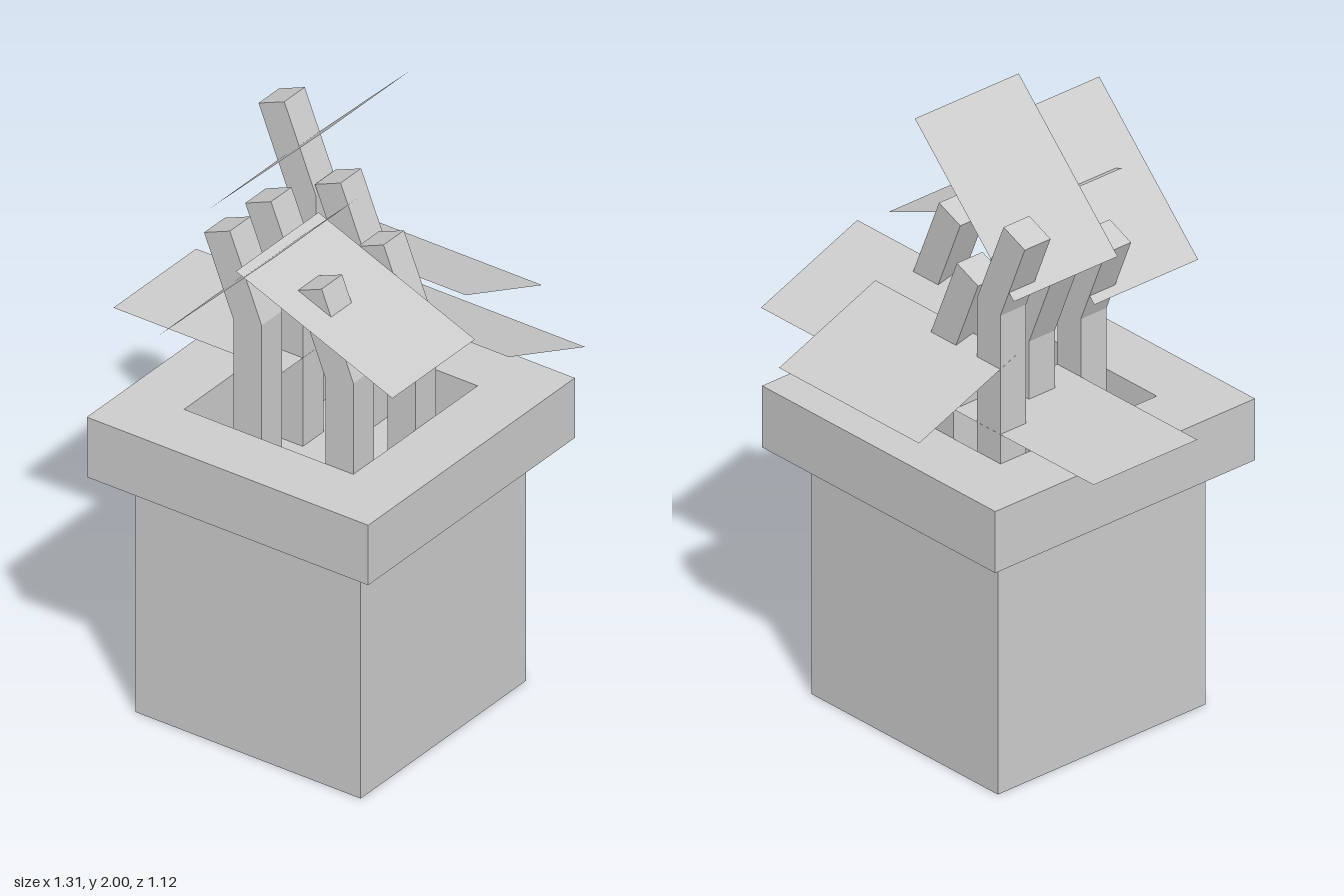
import * as THREE from 'three';

export function createModel() {
  const group = new THREE.Group();
  const clay = new THREE.MeshStandardMaterial({ color: 0xcccccc, flatShading: true, side: THREE.DoubleSide });

  const add = (name, geometry, x = 0, y = 0, z = 0) => {
    const mesh = new THREE.Mesh(geometry, clay);
    mesh.name = name;
    mesh.position.set(x, y, z);
    group.add(mesh);
    return mesh;
  };

  const square = (Type, half) => new Type([[-1, -1], [1, -1], [1, 1], [-1, 1]]
    .map(([x, y]) => new THREE.Vector2(x * half, y * half)));

  // Pot: square body with a wider hollow rim
  const potX = 0.05, potZ = 0.056, rimBase = 0.81;
  add('potBody', new THREE.BoxGeometry(0.806, rimBase, 0.806), potX, rimBase / 2, potZ);
  const rimShape = square(THREE.Shape, 0.504);
  rimShape.holes.push(square(THREE.Path, 0.303));
  const rim = new THREE.ExtrudeGeometry(rimShape, { depth: 0.203, bevelEnabled: false });
  rim.rotateX(-Math.PI / 2);
  add('potRim', rim, potX, rimBase, potZ);

  // Stems: square posts whose tops lean to the model's right
  const addStem = (x, z, bend) => {
    const shape = new THREE.Shape([
      [-0.05, rimBase], [0.05, rimBase], [0.05, bend + 0.01],
      [-0.064, bend + 0.288], [-0.156, bend + 0.25], [-0.05, bend - 0.01],
    ].map(([px, py]) => new THREE.Vector2(px, py)));
    add('stem', new THREE.ExtrudeGeometry(shape, { depth: 0.1, bevelEnabled: false }), x, 0, z - 0.05);
  };
  [
    [-0.202, -0.197, 1.512],
    [0, -0.197, 1.31],
    [-0.101, 0.005, 1.31],
    [0.302, 0.005, 1.31],
    [-0.101, 0.206, 1.31],
    [0.302, 0.307, 1.31],
  ].forEach((s) => addStem(...s));

  // Leaves: thin sheets tilted about z (rise along x) or about x (rise along z)
  const addLeaf = (x, y, z, length, width, tiltX, tiltZ) => {
    const geometry = new THREE.PlaneGeometry(length, width);
    geometry.rotateX(-Math.PI / 2);
    add('leaf', geometry, x, y, z).rotation.set(tiltX, 0, tiltZ);
  };
  const deg = Math.PI / 180;
  const L = 0.605, W = 0.403;
  addLeaf(0.005, 1.585, 0.358, L, W, 0, 45 * deg);
  addLeaf(-0.096, 1.786, -0.045, L, W, 0, 45 * deg);
  addLeaf(0.285, 1.51, 0.256, L, W, 0, -22 * deg);
  addLeaf(-0.353, 1.11, -0.046, L, W, 0, 0);
  addLeaf(0.05, 1.273, -0.376, L, W, -22 * deg, 0);
  addLeaf(0.352, 1.273, -0.175, L, W, -22 * deg, 0);

  return group;
}
